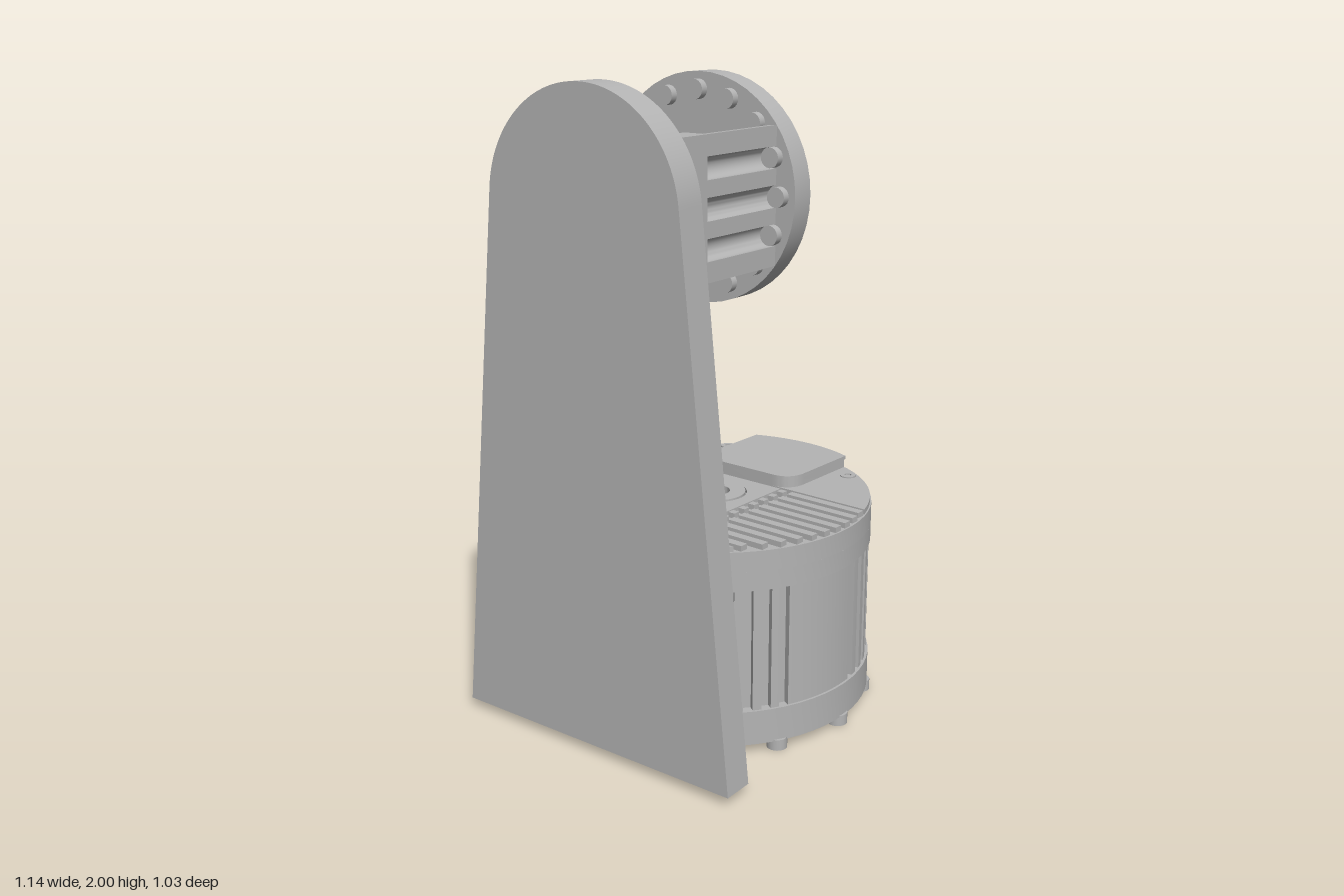
import * as THREE from 'three';
import { toCreasedNormals } from 'three/addons/utils/BufferGeometryUtils.js';

const metal = new THREE.MeshStandardMaterial({ color: 0xb4b4b4 });
metal.name = 'machined grey metal';

const PI = Math.PI;
const AXIS_X = 0.05;   // motor axis
const DISC_Y = 1.655;  // output disc height
const BORE = 0.05;
const R = 0.505;       // motor radius

function add(parent, name, geo, x = 0, y = 0, z = 0) {
  const mesh = new THREE.Mesh(geo, metal);
  mesh.name = name;
  mesh.position.set(x, y, z);
  parent.add(mesh);
  return mesh;
}

function group(parent, name) {
  const g = new THREE.Group();
  g.name = name;
  parent.add(g);
  return g;
}

// Box given by its limits
function box(parent, name, x0, x1, y0, y1, z0, z1) {
  return add(parent, name, new THREE.BoxGeometry(x1 - x0, y1 - y0, z1 - z0),
    (x0 + x1) / 2, (y0 + y1) / 2, (z0 + z1) / 2);
}

function extrude(shape, depth, curveSegments) {
  return new THREE.ExtrudeGeometry(shape, { depth, curveSegments, bevelEnabled: false });
}

// Shape drawn in (x, -z), raised from y0 to y1
function slab(parent, name, shape, y0, y1, seg = 32) {
  const geo = extrude(shape, y1 - y0, seg).rotateX(-PI / 2);
  return add(parent, name, toCreasedNormals(geo, 0.5), 0, y0, 0);
}

// Shape drawn in (-z, y), swept from x0 to x1
function sweepX(parent, name, shape, x0, x1, seg = 32) {
  const geo = extrude(shape, x1 - x0, seg).rotateY(PI / 2);
  return add(parent, name, toCreasedNormals(geo, 0.5), x0, 0, 0);
}

function hole(shape, x, y, r) {
  shape.holes.push(new THREE.Path().absarc(x, y, r, 0, PI * 2, true));
  return shape;
}

const disc = (r, x = 0, y = 0) => new THREE.Shape().absarc(x, y, r, 0, PI * 2, false);
const ring = (r, inner) => hole(disc(r), 0, 0, inner);

function buildPlate(root) {
  // Tapered upright with a round head
  const s = new THREE.Shape();
  s.moveTo(-0.51, 0.03);
  s.lineTo(0.51, 0.03);
  s.absarc(0, DISC_Y, 0.345, 0.07, PI - 0.07, false);
  s.closePath();
  sweepX(root, 'uprightPlate', s, -0.57, -0.47);
  box(root, 'mountingTab', -0.48, -0.38, 0.03, 0.14, -0.17, 0.17);
}

function buildHead(root) {
  const head = group(root, 'outputHead');

  // Side arms, scalloped on the outside to clear the bolts
  for (const side of [-1, 1]) {
    box(head, 'armRoot', -0.47, -0.36, 1.45, 1.86, side > 0 ? 0.2 : -0.28, side > 0 ? 0.28 : -0.2);
    const s = new THREE.Shape();
    const r = 0.033;
    s.moveTo(0.2, 1.49);
    s.absarc(0.209, 1.446, 0.036, PI * 0.6, 0.2, true);
    s.lineTo(0.28, 1.45);
    for (const dy of [-0.113, 0, 0.113]) {
      const c = dy === 0 ? 0.285 : 0.273;
      const a = Math.acos((0.28 - c) / r);
      s.absarc(c, DISC_Y + dy, r, -a, a - PI * 2, true);
    }
    s.lineTo(0.28, 1.86);
    s.absarc(0.209, 1.864, 0.036, -0.2, -PI * 0.6, true);
    s.lineTo(0.2, 1.82);
    s.closePath();
    const arm = sweepX(head, 'armScalloped', s, -0.36, -0.03, 8);
    // A half turn about the head axis makes the opposite arm
    if (side > 0) {
      arm.rotation.x = PI;
      arm.position.y = DISC_Y * 2;
    }
  }

  // Disc with a ring of holes and bolt heads behind it
  const face = hole(disc(0.347, 0, DISC_Y), 0, DISC_Y, 0.045);
  const headGeo = new THREE.CylinderGeometry(0.03, 0.03, 0.026, 20).rotateZ(PI / 2);
  for (let i = 0; i < 16; i++) {
    const a = i * PI / 8;
    const z = Math.cos(a) * 0.295, y = DISC_Y + Math.sin(a) * 0.295;
    hole(face, z, y, 0.02);
    add(head, 'discBolt', headGeo, -0.042, y, z);
  }
  sweepX(head, 'outputDisc', face, -0.03, 0.05, 24);
}

function buildBase(motor) {
  slab(motor, 'baseFlange', ring(0.508, BORE), 0.03, 0.14);
  const boltGeo = new THREE.CylinderGeometry(0.032, 0.032, 0.035, 20);
  for (let i = 0; i < 12; i++) {
    const a = i * PI / 6;
    add(motor, 'baseBolt', boltGeo, Math.cos(a) * 0.485, 0.0175, Math.sin(a) * 0.485);
  }
  // Stepped underside with a drilled ring and a hub
  const drilled = ring(0.35, 0.25);
  for (let i = 0; i < 16; i++) {
    const a = (i + 0.5) * PI / 8;
    hole(drilled, Math.cos(a) * 0.305, Math.sin(a) * 0.305, 0.016);
  }
  slab(motor, 'drilledRing', drilled, 0.018, 0.03, 16);
  slab(motor, 'undersideRidge', ring(0.262, 0.24), 0.01, 0.03);
  const hub = ring(0.12, BORE);
  for (let i = 0; i < 6; i++) hole(hub, Math.cos(i * PI / 3) * 0.088, Math.sin(i * PI / 3) * 0.088, 0.012);
  slab(motor, 'undersideHub', hub, 0.015, 0.03, 16);
}

function buildCan(can) {
  // Slotted wall, plain at the front and back
  const slots = [];
  for (const start of [-82, 98]) {
    for (let i = 0; i < 23; i++) if (i !== 12) slots.push((start + i * 6.64) * PI / 180);
  }
  const wall = new THREE.Shape();
  const h = 0.03;
  slots.forEach((a, i) => {
    const next = i + 1 < slots.length ? slots[i + 1] : slots[0] + PI * 2;
    wall.absarc(0, 0, 0.478, a - h, a + h, false);
    wall.absarc(0, 0, 0.5, a + h, next - h, false);
  });
  wall.closePath();
  slab(can, 'slottedWall', hole(wall, 0, 0, BORE), 0.14, 0.53, 6);
  slab(can, 'coverRing', ring(R, BORE), 0.53, 0.59);

  // Cover, cut flat on one side for the connector
  const flatX = 0.46, b = Math.acos(flatX / R);
  const cover = new THREE.Shape().absarc(0, 0, R, b, PI * 2 - b, false);
  slab(can, 'cover', hole(cover, 0, 0, BORE), 0.59, 0.655);
  box(can, 'connectorHousing', 0.45, 0.485, 0.6, 0.655, -0.09, 0.09);
  box(can, 'connectorPlug', 0.44, 0.512, 0.575, 0.645, -0.055, 0.055);
  const port = box(can, 'sidePort', -0.012, 0.012, 0.56, 0.605, -0.02, 0.02);
  port.position.set(0.285, 0.582, -0.415);
  port.rotation.y = 0.96;

  // Raised lands on both sides of the finned area
  const y0 = 0.655, y1 = 0.672, T = 0.5;
  const a = Math.acos(0.155 / T), c = Math.acos(flatX / T), l = Math.acos(0.35 / T);
  const right = new THREE.Shape().absarc(0, 0, T, -a, -c, false);
  right.absarc(0, 0, T, c, a, false);
  slab(can, 'rightLand', right, y0, y1);
  slab(can, 'leftLand', new THREE.Shape().absarc(0, 0, T, PI - l, PI + l, false), y0, y1);

  // Centre land and bore collar
  const square = new THREE.Shape([[-0.145, -0.15], [0.155, -0.15], [0.155, 0.15], [-0.145, 0.15]]
    .map(([x, y]) => new THREE.Vector2(x, y)));
  slab(can, 'centreLand', hole(square, 0, 0, 0.105), y0, y1 - 0.004);
  slab(can, 'boreCollar', ring(0.1, BORE), y0, y1);

  // Cooling fins and pins
  for (let k = 0; k < 10; k++) {
    const x = -0.32 + k * 0.05;
    const end = Math.sqrt(T * T - (Math.abs(x) + 0.014) ** 2);
    box(can, 'fin', x - 0.014, x + 0.014, y0, y1, 0.205, end);
    box(can, 'fin', x - 0.014, x + 0.014, y0, y1, -end, -0.205);
    for (let j = 0; j < 8; j++) {
      if (k > 3 && j > 0 && j < 7) continue;
      const z = -0.175 + j * 0.05;
      box(can, 'pin', x - 0.012, x + 0.012, y0, y1, z - 0.012, z + 0.012);
    }
  }

  // Connector cap with a thin overhanging lip
  const cap = (overhang) => {
    const s = new THREE.Shape();
    s.moveTo(0.23, -0.19);
    if (overhang) s.absarc(0, 0, R, -Math.asin(0.19 / R), Math.asin(0.19 / R), false);
    else s.lineTo(flatX, -0.19).lineTo(flatX, 0.19);
    s.lineTo(0.23, 0.19);
    s.quadraticCurveTo(0.155, 0.19, 0.155, 0.115);
    s.lineTo(0.155, -0.115);
    s.quadraticCurveTo(0.155, -0.19, 0.23, -0.19);
    return s;
  };
  slab(can, 'connectorCap', cap(false), y1, 0.698, 16);
  slab(can, 'connectorCapLip', cap(true), 0.698, 0.71, 16);

  // Cover screws with hexagon sockets
  for (const [x, z] of [[0.394, -0.257], [0.392, 0.253], [-0.394, 0.257], [-0.392, -0.253]]) {
    const s = disc(0.026);
    s.holes.push(new THREE.Path(Array.from({ length: 6 }, (_, i) =>
      new THREE.Vector2(Math.cos(i * PI / 3) * 0.013, -Math.sin(i * PI / 3) * 0.013))));
    slab(can, 'coverScrew', s, y0, y1 + 0.004, 12).position.set(x, y0, z);
  }
}

export function createModel() {
  const root = new THREE.Group();
  root.name = 'motorStand';
  buildPlate(root);
  buildHead(root);
  const motor = group(root, 'motor');
  motor.position.x = AXIS_X;
  buildBase(motor);
  const can = group(motor, 'motorCan');
  can.rotation.y = -2.5 * PI / 180;
  buildCan(can);
  return root;
}
